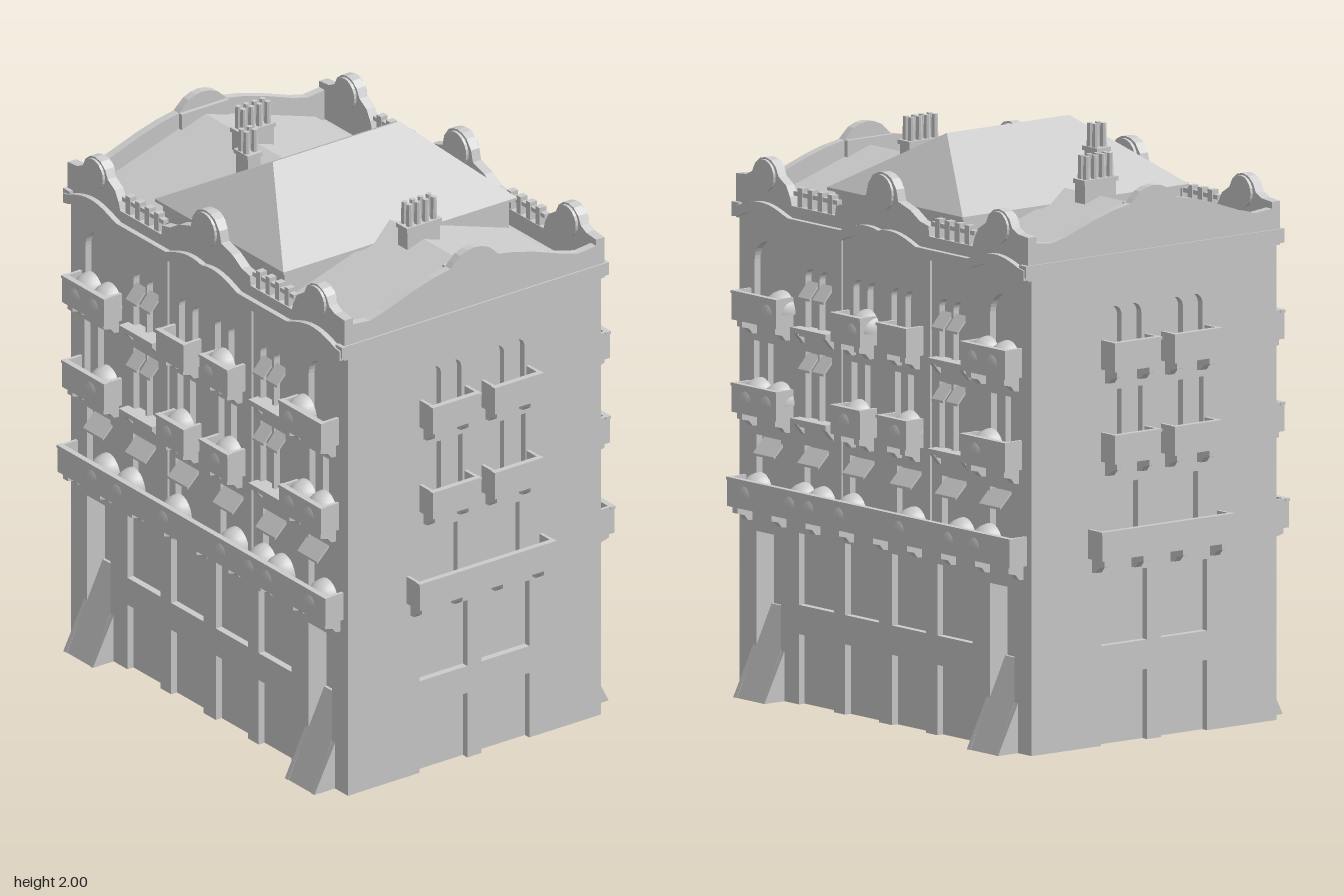
import * as THREE from 'three';
import { ConvexGeometry } from 'three/addons/geometries/ConvexGeometry.js';

const mat = new THREE.MeshStandardMaterial({ color: 0xcccccc, flatShading: true, side: THREE.DoubleSide });
const smooth = new THREE.MeshStandardMaterial({ color: 0xcccccc, side: THREE.DoubleSide });

function add(parent, name, geo, x = 0, y = 0, z = 0, m = mat) {
  const mesh = new THREE.Mesh(geo, m);
  mesh.name = name;
  mesh.position.set(x, y, z);
  parent.add(mesh);
  return mesh;
}
// Box given by its limits
const box = (p, name, x0, x1, y0, y1, z0, z1) =>
  add(p, name, new THREE.BoxGeometry(x1 - x0, y1 - y0, z1 - z0), (x0 + x1) / 2, (y0 + y1) / 2, (z0 + z1) / 2);
const poly = pts => new THREE.Shape(pts.map(p => new THREE.Vector2(...p)));
const extrude = (shape, depth) =>
  new THREE.ExtrudeGeometry(shape, { depth, bevelEnabled: false, curveSegments: 8 });
// Profile in (outward, up), extruded along the wall from u0 to u1
function profile(p, name, pts, u0, u1) {
  add(p, name, extrude(poly(pts), u1 - u0), u1).rotation.y = -Math.PI / 2;
}
const both = list => list.flatMap(([a, b, ...r]) => [[a, b, ...r], [-b, -a, ...r]]);
const mirrorOutline = half => [...half, ...half.slice().reverse().filter(p => p[0] > 0).map(([x, y]) => [-x, y])];

// Opening [u0, u1, y0, y1, arched]
function hole([u0, u1, y0, y1, arched]) {
  const p = new THREE.Path(), r = (u1 - u0) / 2;
  p.moveTo(u0, y0);
  p.lineTo(u1, y0);
  if (arched) {
    p.lineTo(u1, y1 - r);
    p.absarc((u0 + u1) / 2, y1 - r, r, 0, Math.PI, false);
  } else {
    p.lineTo(u1, y1);
    p.lineTo(u0, y1);
  }
  p.closePath();
  return p;
}
// Wall with openings and with notches [u0, u1, top] reaching the ground
function wall(p, name, hw, top, notches, holes, z, depth) {
  const pts = [[-hw, 0]];
  notches.slice().sort((a, b) => a[0] - b[0]).forEach(([a, b, h]) => pts.push([a, 0], [a, h], [b, h], [b, 0]));
  pts.push([hw, 0], [hw, top], [-hw, top]);
  const s = poly(pts);
  s.holes = holes.map(hole);
  add(p, name, extrude(s, depth), 0, 0, z);
}

// Balcony between u0 and u1 with its slab at y, standing out from plane w
function balcony(p, u0, u1, y, w, out = 0.075, brackets = 2) {
  const g = new THREE.Group();
  g.name = 'balcony';
  p.add(g);
  box(g, 'balconySlab', u0, u1, y, y + 0.015, w, w + out);
  box(g, 'balconyFront', u0, u1, y, y + 0.1, w + out - 0.012, w + out);
  box(g, 'balconyRail', u0 - 0.003, u1 + 0.003, y + 0.09, y + 0.1, w + out - 0.018, w + out + 0.003);
  for (const a of [u0, u1 - 0.012]) box(g, 'balconyEnd', a, a + 0.012, y, y + 0.1, w, w + out);
  for (let i = 0; i < brackets; i++) {
    const c = u0 + 0.03 + (u1 - u0 - 0.06) * i / (brackets - 1);
    profile(g, 'bracket', [[w, y], [w + out - 0.01, y], [w + out - 0.01, y - 0.022],
      [w + 0.035, y - 0.03], [w + 0.02, y - 0.048], [w, y - 0.05]], c - 0.013, c + 0.013);
  }
}

function endFacade(g) {
  const w = 0.775;
  const cols = both([[0.03, 0.23]]);
  const holes = cols.map(([a, b]) => [a, b, 0.34, 0.585]).concat(
    both([[0.07, 0.19, 0.65, 0.89], [0.05, 0.125, 0.97, 1.21], [0.14, 0.215, 0.97, 1.21],
      [0.055, 0.125, 1.285, 1.495, true], [0.14, 0.21, 1.285, 1.495, true]]));
  wall(g, 'endWall', 0.53, 1.64, cols.map(([a, b]) => [a, b, 0.24]), holes, w - 0.025, 0.025);
  box(g, 'windowPanes', -0.5, 0.5, 0, 1.64, w - 0.035, w - 0.025);
  balcony(g, -0.285, 0.285, 0.645, w, 0.075, 4);
  for (const [a, b] of cols) for (const y of [0.97, 1.285]) balcony(g, a, b, y, w);
  box(g, 'cornice', -0.56, 0.56, 1.635, 1.675, w - 0.03, w + 0.006);
  // Curved gable parapet
  const top = [[0.53, 1.62], [0.53, 1.75], [0.49, 1.745], [0.44, 1.74], [0.38, 1.755], [0.25, 1.8], [0.17, 1.822],
    [0.1, 1.835], [0.085, 1.85], [0.06, 1.872], [0.03, 1.884], [0, 1.888]];
  add(g, 'endParapet', extrude(poly(mirrorOutline(top)), 0.03), 0, 0, w - 0.03);
  box(g, 'gableBack', -0.1, 0.1, 1.7, 1.835, w - 0.045, w - 0.03);
}

function sideFacade(g, s) {
  const w = 0.53;
  const doors = both([[0.555, 0.685, 0.56]]);
  const cols = both([[0.275, 0.46], [0.035, 0.215]]);
  const holes = cols.map(([a, b]) => [a, b, 0.34, 0.585]).concat(both([
    [0.555, 0.685, 0.65, 0.89], [0.3, 0.43, 0.65, 0.89], [0.06, 0.19, 0.65, 0.89],
    [0.56, 0.625, 0.97, 1.21], [0.635, 0.7, 0.97, 1.21], [0.285, 0.35, 0.98, 1.21],
    [0.36, 0.425, 0.98, 1.21], [0.05, 0.11, 0.97, 1.21], [0.12, 0.18, 0.97, 1.21],
    [0.555, 0.695, 1.285, 1.555, true], [0.285, 0.35, 1.29, 1.495, true], [0.36, 0.425, 1.29, 1.495, true],
    [0.03, 0.095, 1.285, 1.495, true], [0.105, 0.17, 1.285, 1.495, true]]));
  wall(g, 'sideWall', 0.75, 1.64, [...doors, ...cols.map(([a, b]) => [a, b, 0.24])], holes, w - 0.025, 0.025);
  wall(g, 'windowPanes', 0.74, 1.64, doors, [], w - 0.075, 0.05);
  for (const [a, b] of doors) {
    box(g, 'door', a, b, 0, 0.56, w - 0.085, w - 0.075);
    // Sloping slab and its triangular cheeks
    profile(g, 'entranceSlab', [[0.615, 0], [0.465, 0.305], [0.455, 0.305], [0.595, 0]], a, b);
    for (const u of [a - 0.018, b])
      profile(g, 'entranceCheek', [[0.617, 0], [0.525, 0.18], [0.51, 0.18], [0.51, 0]], u, u + 0.018);
  }
  // Balconies
  balcony(g, -0.75, 0.75, 0.645, w, 0.075, 9);
  for (const [a, b] of both([[0.49, 0.725], [0.045, 0.2]]))
    for (const y of [0.97, 1.285]) balcony(g, a, b, y, w);
  // Paired windows with sills, mullions and sloping blinds
  for (const [a, b] of both([[0.27, 0.455]])) for (const y of [0.965, 1.275]) {
    box(g, 'sill', a, b, y, y + 0.018, w, w + 0.04);
    box(g, 'sillLip', a + 0.01, b - 0.01, y - 0.01, y, w, w + 0.025);
    for (const u of [a + 0.005, b - 0.025])
      profile(g, 'sillBracket', [[w, y], [w + 0.035, y], [w, y - 0.04]], u, u + 0.02);
  }
  const blind = (u, y, hw, d) =>
    profile(g, 'blind', [[w - 0.01, y], [w + d, y - 0.05], [w + d, y - 0.058], [w - 0.01, y - 0.01]], u - hw, u + hw);
  for (const k of [-1, 1]) {
    for (const u of [0.317, 0.393]) {
      blind(k * u, 1.205, 0.031, 0.035);
      blind(k * u, 1.45, 0.031, 0.035);
    }
    for (const u of [0.6, 0.365, 0.125]) blind(k * u, 0.885, 0.056, 0.04);
    box(g, 'pilaster', k * 0.235 - 0.01, k * 0.235 + 0.01, 0.65, 1.635, w, w + 0.008);
  }
  // Rounded canopies hanging over the balconies: [bottom, positions along z]
  const dome = new THREE.SphereGeometry(1, 14, 6, 0, Math.PI, 0, Math.PI / 2);
  dome.scale(0.062, 0.075, 0.085);
  for (const [y, zs] of [[0.69, [0.66, 0.42, 0.32, 0.16, -0.16, -0.42, -0.56]],
    [1.015, [0.655, 0.545, 0.13, -0.14, -0.565]], [1.328, [0.54, 0.09, -0.55, -0.655]]])
    for (const z of zs) add(g, 'canopy', dome, -s * z, y, w, smooth);

  // Cornice arching over the two corners
  const f = u => 1.66 + 0.035 * Math.max(0, Math.cos((Math.abs(u) - 0.62) / 0.14 * Math.PI / 2));
  const us = Array.from({ length: 63 }, (_, i) => -0.775 + i * 0.025);
  const band = [...us.map(u => [u, f(u)]), ...us.slice().reverse().map(u => [u, f(u) - 0.035])];
  add(g, 'cornice', extrude(poly(band), 0.045), 0, 0, w - 0.01);
  // Parapet with a central and two corner gables
  const top = [[0.775, 1.62], [0.775, 1.77], [0.72, 1.775], [0.69, 1.79], [0.675, 1.82], [0.65, 1.84], [0.62, 1.847],
    [0.59, 1.84], [0.565, 1.82], [0.55, 1.79], [0.51, 1.765], [0.49, 1.73], [0.48, 1.7], [0.25, 1.7], [0.245, 1.735],
    [0.2, 1.745], [0.15, 1.775], [0.085, 1.795], [0.075, 1.835], [0.05, 1.868], [0.025, 1.88], [0, 1.884]];
  add(g, 'sideParapet', extrude(poly(mirrorOutline(top)), 0.035), 0, 0, 0.51);
  for (const [c, y, r] of [[0, 1.815, 0.062], [0.62, 1.785, 0.055], [-0.62, 1.785, 0.055]])
    add(g, 'gableDisc', new THREE.CylinderGeometry(r, r, 0.055, 20), c, y, 0.527).rotation.x = Math.PI / 2;
  for (const k of [-1, 1]) {
    for (let i = 0; i < 4; i++) {
      const c = k * (0.285 + i * 0.053);
      box(g, 'parapetPost', c - 0.012, c + 0.012, 1.7, 1.765, 0.512, 0.54);
    }
    box(g, 'parapetRail', k * 0.365 - 0.115, k * 0.365 + 0.115, 1.735, 1.75, 0.515, 0.537);
  }
}

// Chimney stack with a grid of pots
function chimney(p, x, z, hx, hz, top, nx, nz) {
  const g = new THREE.Group();
  g.name = 'chimney';
  p.add(g);
  box(g, 'stack', x - hx, x + hx, 1.68, top, z - hz, z + hz);
  box(g, 'stackCap', x - hx - 0.005, x + hx + 0.005, top - 0.015, top, z - hz - 0.005, z + hz + 0.005);
  const pot = new THREE.CylinderGeometry(0.01, 0.012, 0.08, 8);
  for (let i = 0; i < nx; i++) for (let j = 0; j < nz; j++)
    add(g, 'pot', pot, x + (i - (nx - 1) / 2) * 0.034, top + 0.04, z + (j - (nz - 1) / 2) * 0.028);
}

export function createModel() {
  const root = new THREE.Group();
  root.name = 'townHouse';
  for (const s of [1, -1]) {
    const end = new THREE.Group();
    end.name = s > 0 ? 'frontFacade' : 'backFacade';
    end.rotation.y = s > 0 ? 0 : Math.PI;
    endFacade(end);
    const side = new THREE.Group();
    side.name = s > 0 ? 'leftFacade' : 'rightFacade';
    side.rotation.y = s * Math.PI / 2;
    sideFacade(side, s);
    root.add(end, side);
  }
  // Low gabled roof along the house and the tall hipped roof across its middle
  add(root, 'lowRoof', extrude(poly([[-0.51, 1.63], [0.51, 1.63], [0.47, 1.66], [0, 1.81], [-0.47, 1.66]]), 1.5), 0, 0, -0.75);
  const hip = [];
  for (const x of [-1, 1]) {
    hip.push(new THREE.Vector3(x * 0.265, 1.985, 0));
    for (const z of [-1, 1]) for (const y of [1.765, 1.775]) hip.push(new THREE.Vector3(x * 0.49, y, z * 0.36));
  }
  add(root, 'hippedRoof', new ConvexGeometry(hip));
  box(root, 'roofBase', -0.47, 0.47, 1.64, 1.77, -0.34, 0.34);
  chimney(root, 0, 0.465, 0.068, 0.026, 1.87, 4, 2);
  chimney(root, 0, -0.465, 0.068, 0.026, 1.87, 4, 2);
  chimney(root, -0.195, -0.232, 0.026, 0.034, 1.92, 2, 2);
  return root;
}
